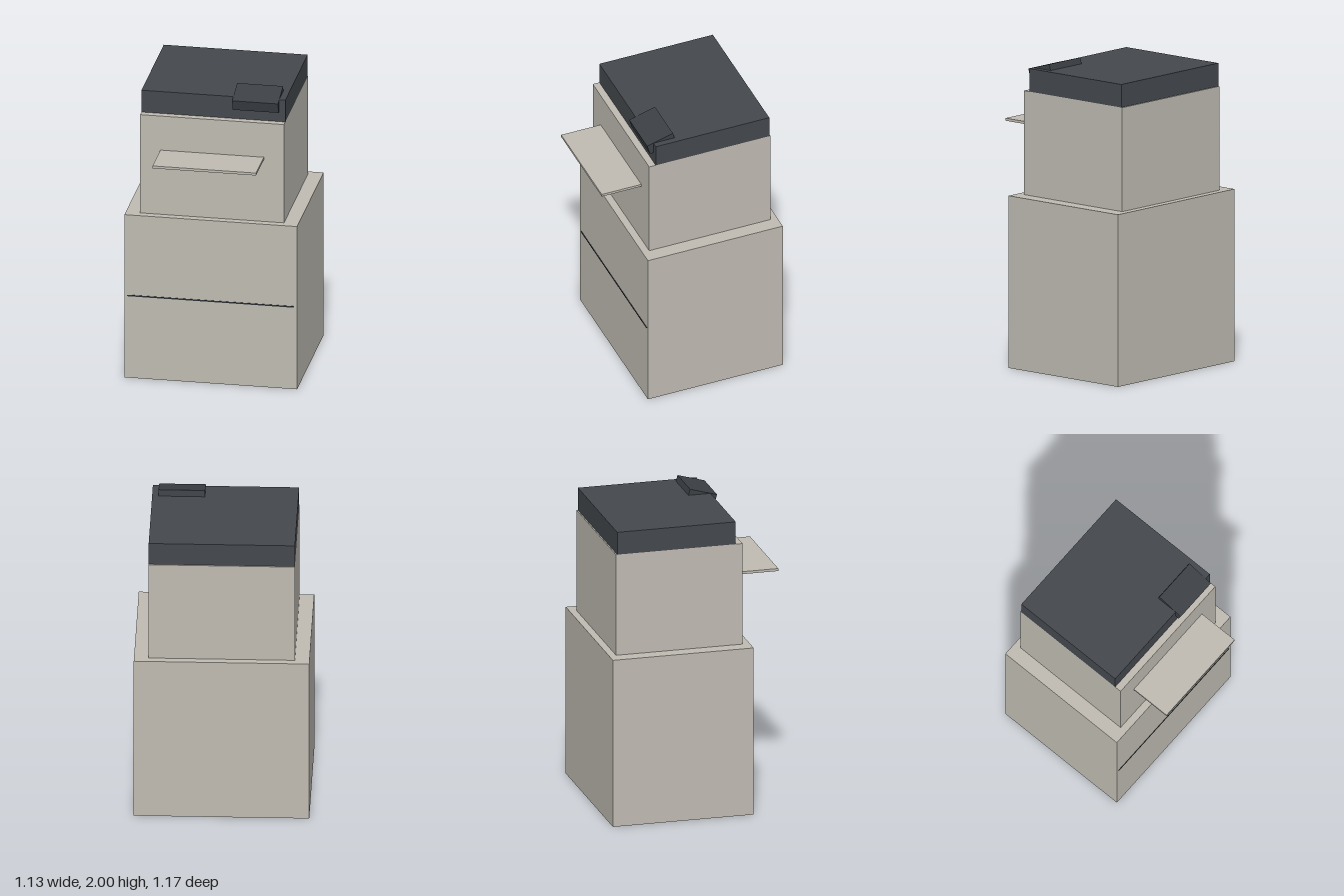
import * as THREE from 'three';

const material = (name, color) => {
  const m = new THREE.MeshStandardMaterial({ color });
  m.name = name;
  return m;
};

export function createModel() {
  const group = new THREE.Group();
  group.name = 'officeCopier';

  const casing = material('warm grey casing', 0xbfbbb2);
  const lidGrey = material('dark grey lid', 0x44484d);
  const panelGrey = material('charcoal panel', 0x3c4045);
  const gapGrey = material('dark gap', 0x2e3236);

  // Box given by its extents on each axis
  const addBox = (name, mat, [x0, x1], [y0, y1], [z0, z1]) => {
    const mesh = new THREE.Mesh(new THREE.BoxGeometry(x1 - x0, y1 - y0, z1 - z0), mat);
    mesh.position.set((x0 + x1) / 2, (y0 + y1) / 2, (z0 + z1) / 2);
    mesh.name = name;
    group.add(mesh);
    return mesh;
  };

  // Paper cabinet, print body and scanner lid
  addBox('cabinet', casing, [-0.564, 0.564], [0, 1.128], [-0.583, 0.356]);
  addBox('printBody', casing, [-0.47, 0.47], [1.128, 1.809], [-0.536, 0.308]);
  addBox('scannerLid', lidGrey, [-0.47, 0.47], [1.809, 1.96], [-0.528, 0.262]);

  // Output tray reaching out of the front
  addBox('outputTray', casing, [-0.338, 0.338], [1.556, 1.573], [0.29, 0.583]);

  // Thin gap line between the two drawers
  addBox('drawerGap', gapGrey, [-0.545, 0.545], [0.565, 0.574], [0.352, 0.359]);

  // Control panel tilted towards the user
  const panel = addBox('controlPanel', panelGrey, [0.13, 0.43], [1.9025, 1.9755], [0.112, 0.299]);
  panel.rotation.x = 0.28;

  return group;
}
